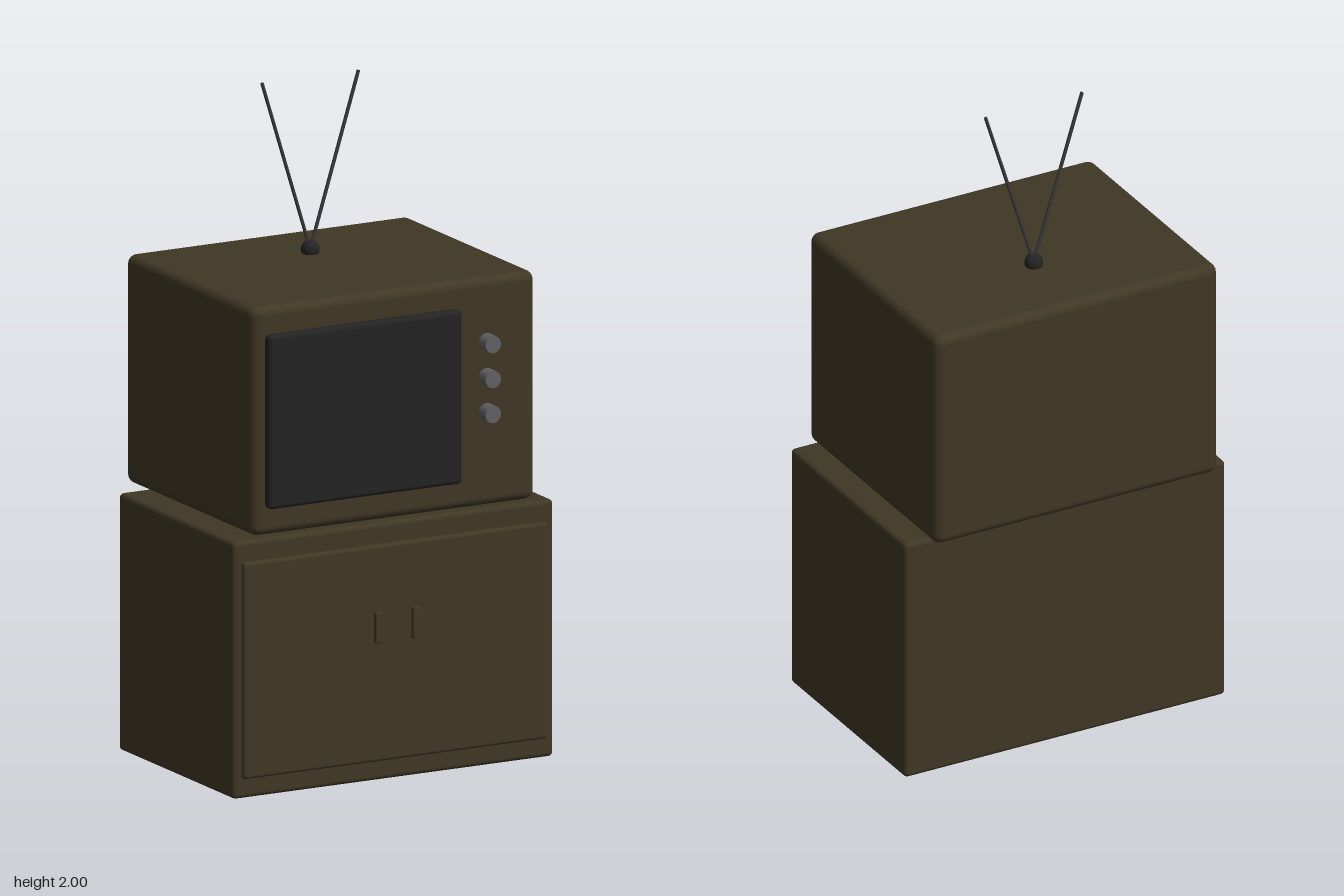
import * as THREE from 'three';
import { RoundedBoxGeometry } from 'three/addons/geometries/RoundedBoxGeometry.js';

const material = (name, color) => {
  const m = new THREE.MeshStandardMaterial({ color });
  m.name = name;
  return m;
};

export function createModel() {
  const wood = material('dark wood', 0x403725);
  const glass = material('screen black', 0x232324);
  const metal = material('knob grey', 0x606062);
  const dark = material('aerial grey', 0x39393a);

  const model = new THREE.Group();
  model.name = 'televisionOnCabinet';

  const add = (name, geometry, mat, parent = model) => {
    const mesh = new THREE.Mesh(geometry, mat);
    mesh.name = name;
    parent.add(mesh);
    return mesh;
  };

  // Rounded box given by its lower and upper corners
  const block = (name, min, max, radius, mat, parent) => {
    const size = max.map((v, i) => v - min[i]);
    const mesh = add(name, new RoundedBoxGeometry(...size, 3, radius), mat, parent);
    mesh.position.set(...max.map((v, i) => (v + min[i]) / 2));
    return mesh;
  };

  // Cabinet with its raised front panel and two handles
  const cabinet = new THREE.Group();
  cabinet.name = 'cabinet';
  model.add(cabinet);
  block('cabinetBody', [-0.535, 0, -0.333], [0.535, 0.772, 0.355], 0.014, wood, cabinet);
  block('doorPanel', [-0.508, 0.06, 0.325], [0.506, 0.71, 0.371], 0.01, wood, cabinet);
  for (const side of [-1, 1]) {
    const x = side * 0.062;
    block(side < 0 ? 'rightHandle' : 'leftHandle',
      [x - 0.012, 0.418, 0.36], [x + 0.012, 0.512, 0.384], 0.004, wood, cabinet);
  }

  // Television case and screen
  const television = new THREE.Group();
  television.name = 'television';
  model.add(television);
  block('case', [-0.474, 0.781, -0.403], [0.472, 1.468, 0.361], 0.028, wood, television);
  block('screen', [-0.432, 0.864, 0.335], [0.215, 1.387, 0.387], 0.014, glass, television);

  // Three control knobs
  const knobGeometry = new THREE.CylinderGeometry(0.026, 0.026, 0.052, 16).rotateX(Math.PI / 2);
  for (const y of [1.275, 1.17, 1.065]) {
    add('knob', knobGeometry, metal, television).position.set(0.306, y, 0.377);
  }

  // Aerial: a ball base with two splayed rods
  const aerial = new THREE.Group();
  aerial.name = 'aerial';
  aerial.position.set(0, 1.48, -0.143);
  model.add(aerial);
  add('aerialBase', new THREE.SphereGeometry(0.028, 16, 10), glass, aerial);
  for (const side of [-1, 1]) {
    const tip = new THREE.Vector3(side * 0.161, 0.518, 0);
    const rod = add(side < 0 ? 'rightRod' : 'leftRod',
      new THREE.CylinderGeometry(0.0055, 0.0055, tip.length(), 8), dark, aerial);
    rod.position.copy(tip).multiplyScalar(0.5);
    rod.quaternion.setFromUnitVectors(new THREE.Vector3(0, 1, 0), tip.clone().normalize());
  }

  return model;
}
